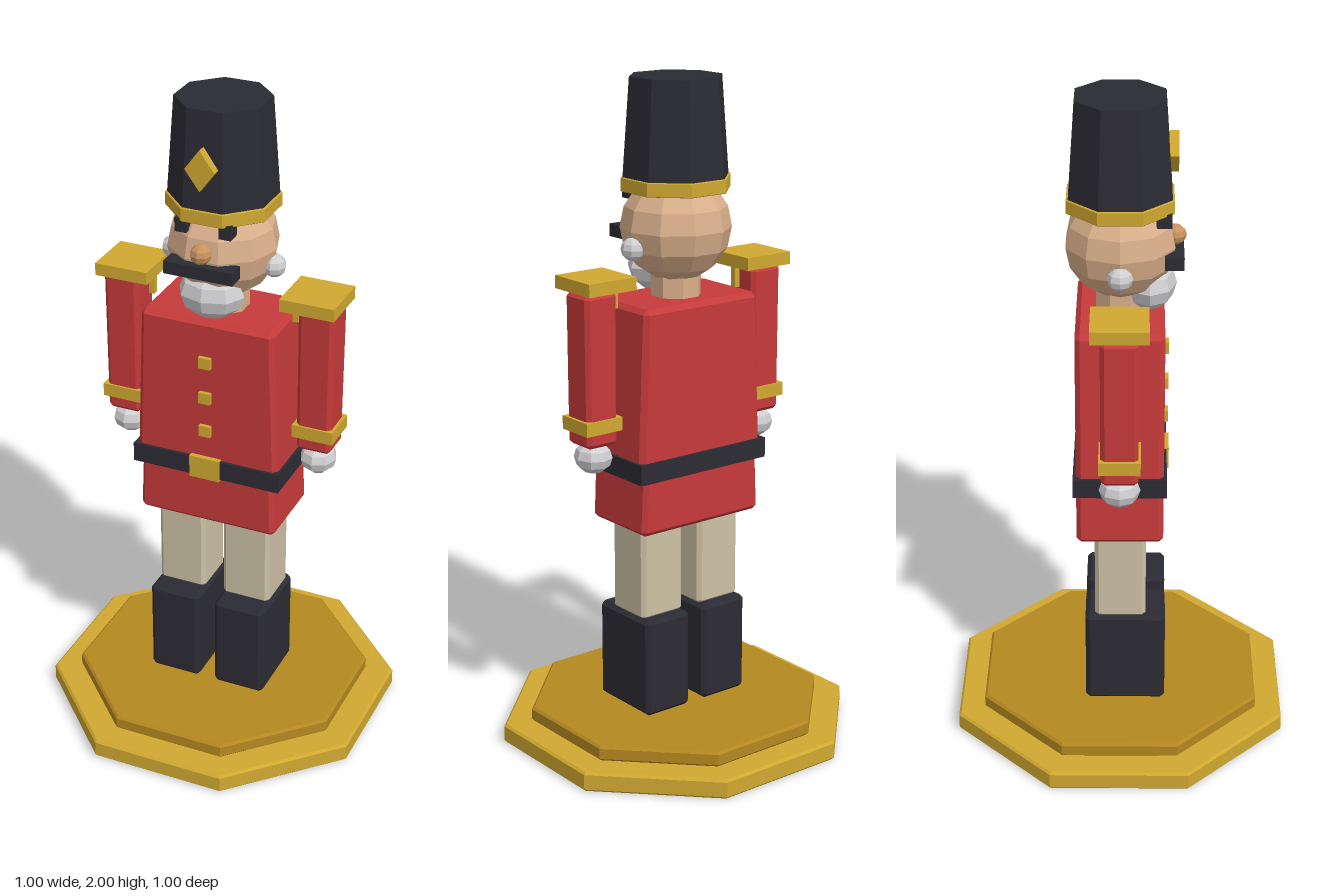
import * as THREE from 'three';
import { ConvexGeometry } from 'three/addons/geometries/ConvexGeometry.js';

const paint = (name, color) => Object.assign(new THREE.MeshStandardMaterial({ color }), { name });

// Splits shared corners so every facet gets its own normal
function faceted(geometry) {
  const flat = geometry.index ? geometry.toNonIndexed() : geometry;
  flat.computeVertexNormals();
  return flat;
}

// Chamfered block of size w x h x d; its top is scaled in x by taper
function block(w, h, d, bevel = 0.012, taper = 1) {
  const points = [];
  for (const sx of [-1, 1]) for (const sy of [-1, 1]) for (const sz of [-1, 1])
    for (let axis = 0; axis < 3; axis++) {
      const p = [w, h, d].map((size, i) => size / 2 - (i === axis ? 0 : bevel));
      const k = sy > 0 ? taper : 1;
      points.push(new THREE.Vector3(sx * p[0] * k, sy * p[1], sz * p[2]));
    }
  return new ConvexGeometry(points);
}

// Octagonal solid with flat sides facing the axes; profile is [half width, y]
function octagon(profile) {
  const points = profile.map(([r, y]) => new THREE.Vector2(r / Math.cos(Math.PI / 8), y));
  return faceted(new THREE.LatheGeometry(points, 8, Math.PI / 8));
}

// Octagonal slab with chamfered rims
const slab = (r, y0, y1, b) => octagon([[0, y0], [r - b, y0], [r, y0 + b], [r, y1 - b], [r - b, y1], [0, y1]]);

// Low-poly ellipsoid
const ball = (rx, ry, rz, w = 8, h = 6) => faceted(new THREE.SphereGeometry(1, w, h).scale(rx, ry, rz));

export function createModel() {
  const gold = paint('gold', 0xd0a830);
  const darkGold = paint('dark gold', 0xb48820);
  const red = paint('coat red', 0xc63a3a);
  const black = paint('black', 0x2b2b33);
  const cream = paint('trouser cream', 0xcdc1a5);
  const skin = paint('skin', 0xdab08c);
  const blush = paint('nose tan', 0xc9935f);
  const white = paint('white', 0xd0d0d3);

  const model = new THREE.Group();
  model.name = 'toySoldier';
  const add = (name, geometry, material, x = 0, y = 0, z = 0, parent = model) => {
    const mesh = new THREE.Mesh(geometry, material);
    mesh.name = name;
    mesh.position.set(x, y, z);
    parent.add(mesh);
    return mesh;
  };
  const box = (w, h, d) => new THREE.BoxGeometry(w, h, d);

  // Two-step base
  add('baseLower', slab(0.5, 0, 0.06, 0.007), gold);
  add('baseUpper', slab(0.42, 0.06, 0.106, 0.007), darkGold);

  // Coat, belt and buttons
  add('coatSkirt', block(0.436, 0.22, 0.256, 0.013, 0.96), red, 0, 0.8, 0);
  add('coatBody', block(0.45, 0.475, 0.256, 0.015, 0.92), red, 0, 1.128, 0);
  add('belt', box(0.466, 0.06, 0.274), black, 0, 0.885, 0);
  add('buckle', box(0.095, 0.07, 0.02), gold, 0, 0.885, 0.134);
  for (const y of [1.01, 1.12, 1.235]) add('button', box(0.037, 0.035, 0.02), gold, 0, y, 0.131);

  // Legs and arms, mirrored
  for (const side of [-1, 1]) {
    const leg = new THREE.Group();
    leg.name = side > 0 ? 'leftLeg' : 'rightLeg';
    model.add(leg);
    add('boot', block(0.163, 0.307, 0.242, 0.013), black, side * 0.107, 0.258, 0.016, leg);
    add('trouserLeg', block(0.152, 0.32, 0.153), cream, side * 0.106, 0.565, 0.001, leg);

    const arm = new THREE.Group();
    arm.name = side > 0 ? 'leftArm' : 'rightArm';
    model.add(arm);
    add('sleeve', block(0.106, 0.45, 0.108, 0.012, 1.04), red, side * 0.305, 1.19, 0, arm);
    add('cuff', box(0.126, 0.04, 0.12), gold, side * 0.305, 1.028, 0, arm);
    add('hand', ball(0.055, 0.048, 0.06), white, side * 0.305, 0.925, 0, arm);
    add('epaulette', box(0.165, 0.038, 0.165), gold, side * 0.288, 1.438, 0, arm);
    add('tassel', box(0.018, 0.07, 0.018), gold, side * 0.226, 1.39, 0, arm);
  }

  // Head and face
  const head = new THREE.Group();
  head.name = 'head';
  model.add(head);
  add('neck', slab(0.07, 1.35, 1.45, 0.004), skin, 0, 0, 0, head);
  add('skull', ball(0.163, 0.16, 0.163, 10, 8), skin, 0, 1.565, 0, head);
  add('beard', ball(0.1, 0.075, 0.078), white, 0, 1.44, 0.084, head);
  add('moustache', box(0.21, 0.038, 0.055), black, 0, 1.54, 0.153, head);
  add('nose', ball(0.032, 0.03, 0.033), blush, 0, 1.588, 0.155, head);
  for (const side of [-1, 1]) {
    add('eye', box(0.036, 0.042, 0.045), black, side * 0.067, 1.66, 0.123, head);
    add('sideHair', ball(0.034, 0.034, 0.037), white, side * 0.157, 1.517, 0, head);
  }

  // Tall hat with band and diamond badge
  const hat = new THREE.Group();
  hat.name = 'hat';
  model.add(hat);
  add('hatCrown', octagon([[0, 1.69], [0.148, 1.69], [0.127, 2], [0, 2]]), black, 0, 0, 0, hat);
  add('hatBand', slab(0.152, 1.674, 1.715, 0.002), gold, 0, 0, 0, hat);
  const diamond = new THREE.Shape([[0, -0.061], [0.045, 0], [0, 0.061], [-0.045, 0]].map(p => new THREE.Vector2(...p)));
  add('badge', new THREE.ExtrudeGeometry(diamond, { depth: 0.028, bevelEnabled: false }), gold, 0, 1.838, 0.135, hat);

  return model;
}
